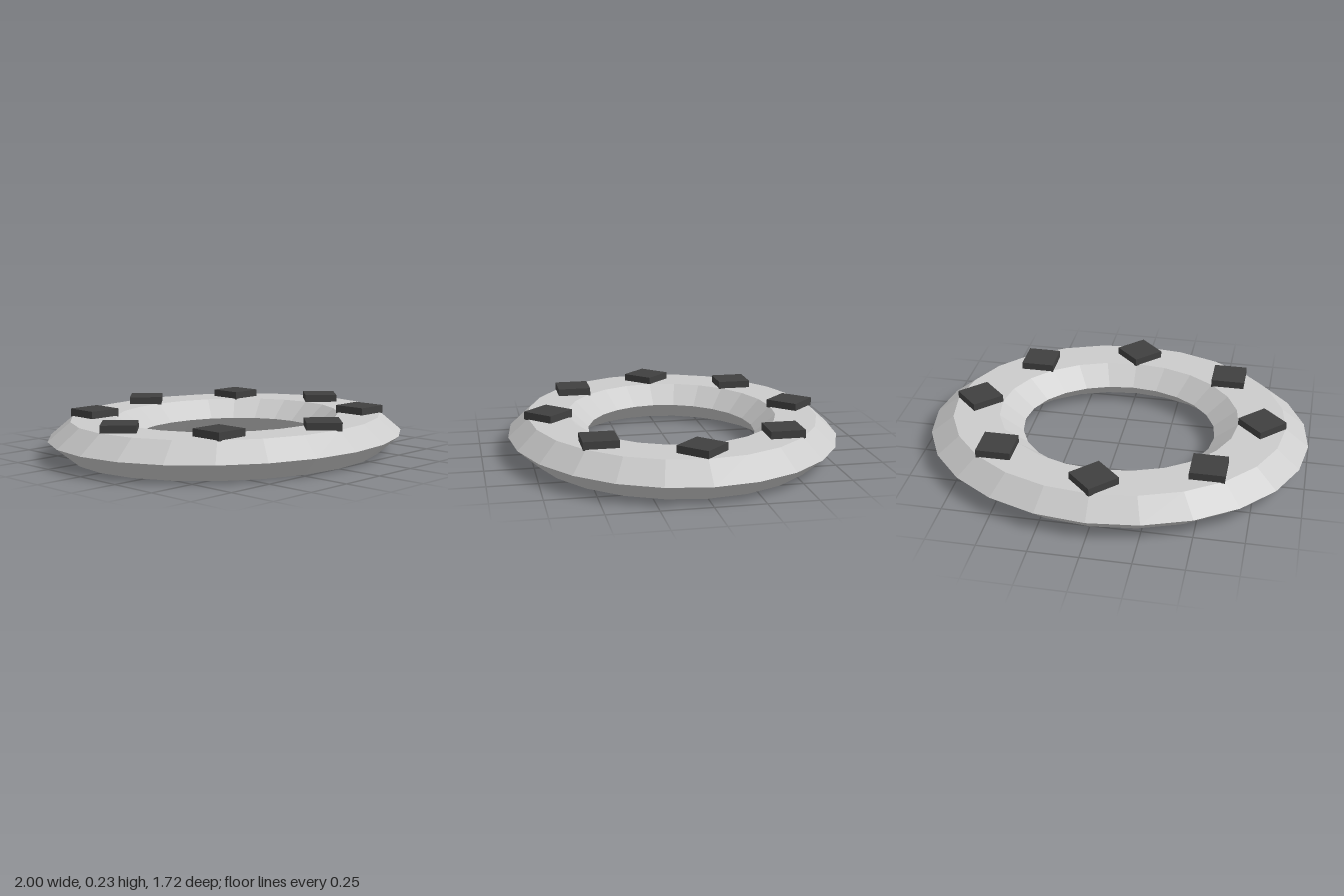
import * as THREE from 'three';

export function createModel() {
  const group = new THREE.Group();
  const bodyMaterial = new THREE.MeshStandardMaterial({ color: 0xcccccc, flatShading: true });
  const blockMaterial = new THREE.MeshStandardMaterial({ color: 0x404040, flatShading: true });

  const ringRadius = 0.755, tubeRadius = 0.245;
  const depthScale = 0.86; // the ring is an oval, narrower along z
  const height = 0.192;

  // Oval ring with a flattened hexagonal cross-section
  const ringGeometry = new THREE.TorusGeometry(ringRadius, tubeRadius, 6, 24);
  ringGeometry.rotateX(Math.PI / 2);
  ringGeometry.scale(1, height / (2 * tubeRadius * Math.sin(Math.PI / 3)), depthScale);
  ringGeometry.translate(0, height / 2, 0);
  const ring = new THREE.Mesh(ringGeometry, bodyMaterial);
  ring.name = 'ring';
  group.add(ring);

  // Eight square blocks spaced around the top face, each turned a further 45 degrees
  const blockGeometry = new THREE.BoxGeometry(0.176, 0.042, 0.176);
  for (let i = 0; i < 8; i++) {
    const angle = (i * Math.PI) / 4;
    const block = new THREE.Mesh(blockGeometry, blockMaterial);
    block.name = `block${i + 1}`;
    block.position.set(Math.cos(angle) * ringRadius, 0.209, Math.sin(angle) * ringRadius * depthScale);
    block.rotation.y = Math.PI / 4 - angle;
    group.add(block);
  }
  return group;
}
